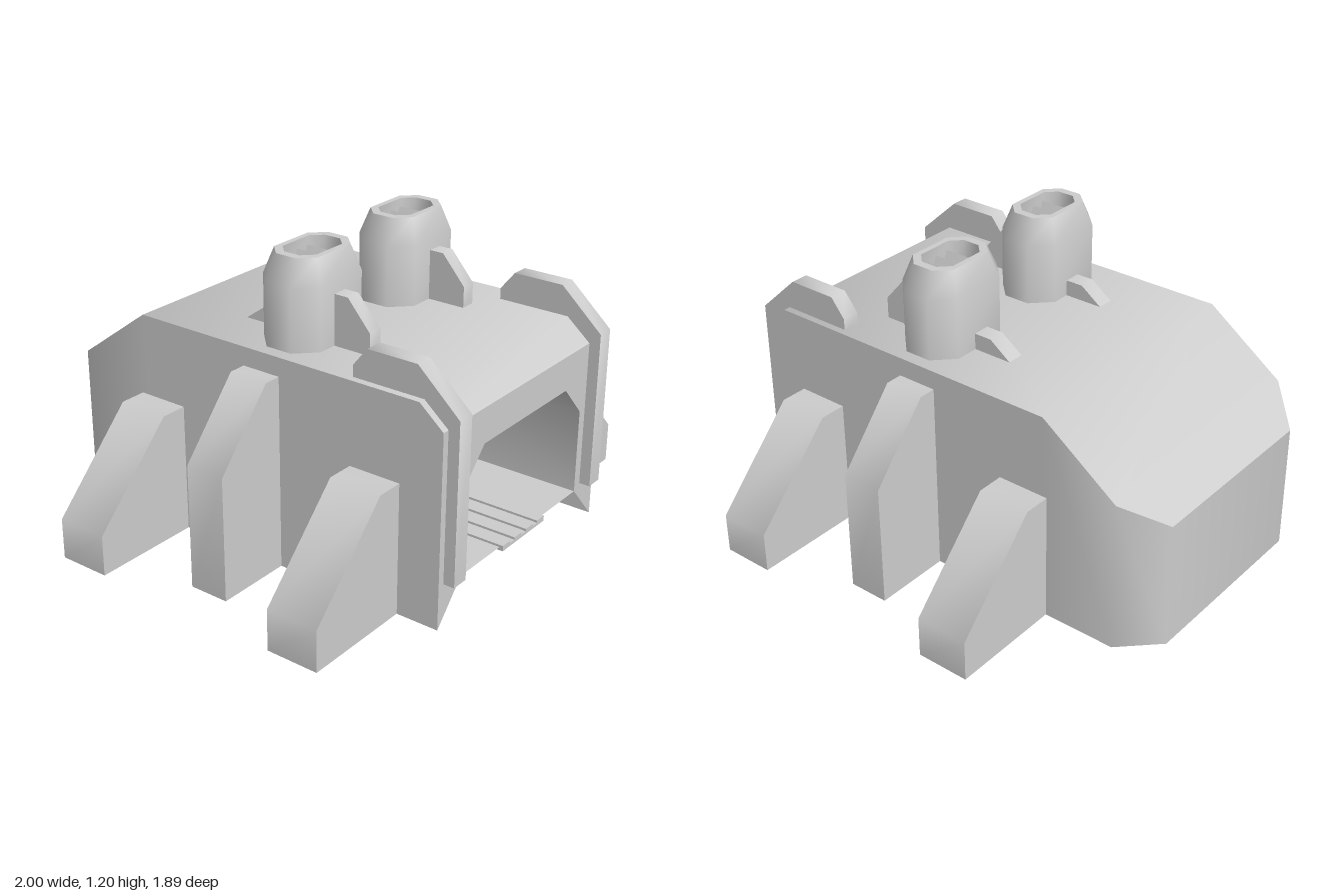
import * as THREE from 'three';
import { toCreasedNormals } from 'three/addons/utils/BufferGeometryUtils.js';

const material = new THREE.MeshStandardMaterial({ color: 0xcccccc, side: THREE.DoubleSide });

function add(parent, name, geometry, crease = 0.9) {
  const mesh = new THREE.Mesh(toCreasedNormals(geometry, crease), material);
  mesh.name = name;
  parent.add(mesh);
  return mesh;
}

// Skin between rings of [x, y, z] points; the last ring is capped.
function loft(rings, closed) {
  const n = rings[0].length, index = [];
  for (let i = 0; i < rings.length - 1; i++) {
    for (let j = 0; j < (closed ? n : n - 1); j++) {
      const k = (j + 1) % n;
      const a = i * n + j, b = i * n + k, c = a + n, d = b + n;
      index.push(a, c, b, b, c, d);
    }
  }
  const last = (rings.length - 1) * n;
  for (let k = 1; k < n - 1; k++) index.push(last, last + k + 1, last + k);
  const g = new THREE.BufferGeometry();
  g.setAttribute('position', new THREE.Float32BufferAttribute(rings.flat(2), 3));
  g.setIndex(index);
  return g.toNonIndexed();
}

const shapeOf = (points) => new THREE.Shape(points.map(([u, v]) => new THREE.Vector2(u, v)));

// Side profile of [z, y] points, given a width across x.
function sideSlab(points, x, width) {
  const g = new THREE.ExtrudeGeometry(shapeOf(points), { depth: width, bevelEnabled: false });
  return g.rotateY(-Math.PI / 2).translate(x + width / 2, 0, 0);
}

// Front profile of [x, y] points, running along z.
function frontSlab(points, z0, z1) {
  const g = new THREE.ExtrudeGeometry(shapeOf(points), { depth: z1 - z0, bevelEnabled: false });
  return g.translate(0, 0, z0);
}

// Long octagon at height y.
function octagon(cx, y, cz, hx, hz, cut) {
  const x = hx - cut, z = hz - cut;
  return [[hx, -z], [hx, z], [x, hz], [-x, hz], [-hx, z], [-hx, -z], [-x, -hz], [x, -hz]]
    .map(([u, w]) => [cx + u, y, cz + w]);
}

export function createModel() {
  const model = new THREE.Group();
  model.name = 'building';

  // Hull shell, open below: z, half width, height
  const stations = [
    [0.9, 0.54, 0.77], [0.8, 0.54, 0.855], [-0.48, 0.54, 0.855],
    [-0.8, 0.54, 0.622], [-0.945, 0.4, 0.52],
  ];
  add(model, 'hull', loft(stations.map(([z, w, h]) =>
    [[w, 0, z], [w, h, z], [-w, h, z], [-w, 0, z]]), false));

  // Front wall around the bay doorway
  const doorway = [[-0.4, 0.155], [-0.4, 0.5], [-0.28, 0.63], [0.28, 0.63], [0.4, 0.5], [0.4, 0.155]];
  add(model, 'frontWall', new THREE.ShapeGeometry(shapeOf(
    [[-0.54, 0], ...doorway, [0.54, 0], [0.54, 0.77], [-0.54, 0.77]])).translate(0, 0, 0.9));

  // Bay: floor, walls, roof and back wall
  add(model, 'bay', loft([0.9, 0.38].map((z) => doorway.map(([x, y]) => [x, y, z])), true));

  // Slotted plate through the bay floor
  const plate = new THREE.BoxGeometry(0.29, 0.012, 0.53).translate(0, 0.148, 0.65);
  add(model, 'floorPlate', plate);
  for (const x of [-0.12, -0.04, 0.04, 0.12]) {
    add(model, 'floorRail', new THREE.BoxGeometry(0.05, 0.012, 0.53).translate(x, 0.158, 0.65));
  }

  for (const side of [-1, 1]) {
    const half = new THREE.Group();
    half.name = side > 0 ? 'leftSide' : 'rightSide';
    model.add(half);

    // Bent posts hugging the front corners
    add(half, 'frontPost', sideSlab([
      [0.945, 0.175], [0.945, 0.815], [0.77, 0.975], [0.56, 0.975], [0.5, 0.9],
      [0.5, 0.84], [0.78, 0.84], [0.88, 0.76], [0.88, 0.175],
    ], side * 0.475, 0.072));

    // Buttresses: low and wide at front and back, tall in the middle
    const low = [[0.53, 0], [1, 0], [1, 0.165], [0.65, 0.525], [0.53, 0.525]];
    const tall = [[0.53, 0], [0.855, 0], [0.855, 0.5], [0.61, 0.78], [0.53, 0.78]];
    const buttresses = [
      ['frontButtress', low, 0.51, 0.725], ['middleButtress', tall, 0.025, 0.19],
      ['backButtress', low, -0.5, -0.285],
    ];
    for (const [name, profile, z0, z1] of buttresses) {
      add(half, name, frontSlab(profile.map(([x, y]) => [side * x, y]), z0, z1));
    }

    // Chimney with a tapered, hollow top
    const cx = side * 0.29, cz = 0.147;
    add(half, 'chimney', loft([
      octagon(cx, 0.84, cz, 0.197, 0.133, 0.077),
      octagon(cx, 1.1, cz, 0.197, 0.133, 0.077),
      octagon(cx, 1.2, cz, 0.15, 0.1, 0.055),
      octagon(cx, 1.2, cz, 0.117, 0.077, 0.042),
      octagon(cx, 1.1, cz, 0.117, 0.077, 0.042),
    ], true));

    // Ridged grate inside the chimney
    for (const dx of [-0.06, 0, 0.06]) {
      const x = cx + dx;
      add(half, 'grateRidge', frontSlab(
        [[x - 0.03, 1.1], [x + 0.03, 1.1], [x, 1.17]], cz - 0.072, cz + 0.072), 0.3);
    }

    // Fins in front of and behind the chimney
    add(half, 'frontFin', sideSlab(
      [[0.26, 0.84], [0.44, 0.84], [0.44, 0.94], [0.34, 1.055], [0.26, 1.055]], side * 0.3, 0.063));
    add(half, 'backFin', sideSlab(
      [[0.04, 0.84], [0.04, 0.92], [-0.06, 0.92], [-0.15, 0.855], [-0.15, 0.84]], side * 0.28, 0.07));
  }
  return model;
}
